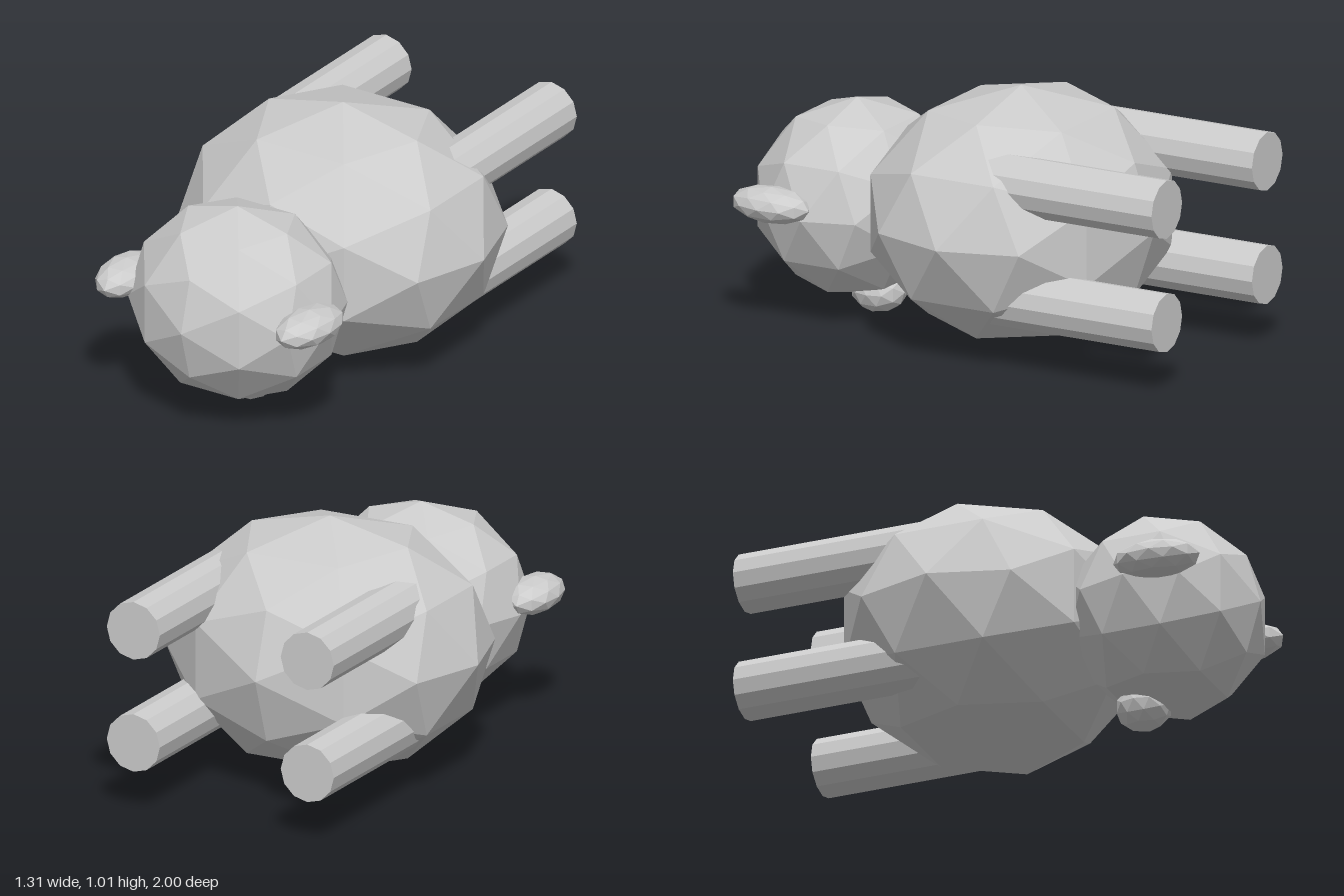
import * as THREE from 'three';

const material = new THREE.MeshStandardMaterial({ color: 0xcccccc, flatShading: true });

// Faceted ellipsoid: a once-subdivided icosahedron scaled per axis
function blob(name, center, radii) {
  const mesh = new THREE.Mesh(new THREE.IcosahedronGeometry(1, 1), material);
  mesh.name = name;
  mesh.position.set(...center);
  mesh.scale.set(...radii);
  return mesh;
}

// Straight leg running backwards out of the body
function leg(name, x, y) {
  const start = -0.2, end = -1;
  const geometry = new THREE.CylinderGeometry(0.117, 0.117, start - end, 12);
  geometry.rotateX(Math.PI / 2);
  const mesh = new THREE.Mesh(geometry, material);
  mesh.name = name;
  mesh.position.set(x, y, (start + end) / 2);
  return mesh;
}

export function createModel() {
  const model = new THREE.Group();
  model.name = 'sheep';

  model.add(blob('body', [0, 0.509, -0.125], [0.653, 0.504, 0.596]));
  model.add(blob('head', [0, 0.464, 0.607], [0.437, 0.393, 0.393]));
  model.add(blob('chinTuft', [0, 0.098, 0.51], [0.103, 0.09, 0.113]));

  for (const side of [1, -1]) {
    const label = side > 0 ? 'left' : 'right';

    // Ears, front tips turned slightly inward
    const ear = blob(label + 'Ear', [side * 0.424, 0.51, 0.744], [0.102, 0.071, 0.176]);
    ear.rotation.y = -side * 0.08;
    model.add(ear);

    // Upper and lower legs
    model.add(leg(label + 'UpperLeg', side * 0.383, 0.738));
    model.add(leg(label + 'LowerLeg', side * 0.383, 0.282));
  }
  return model;
}
